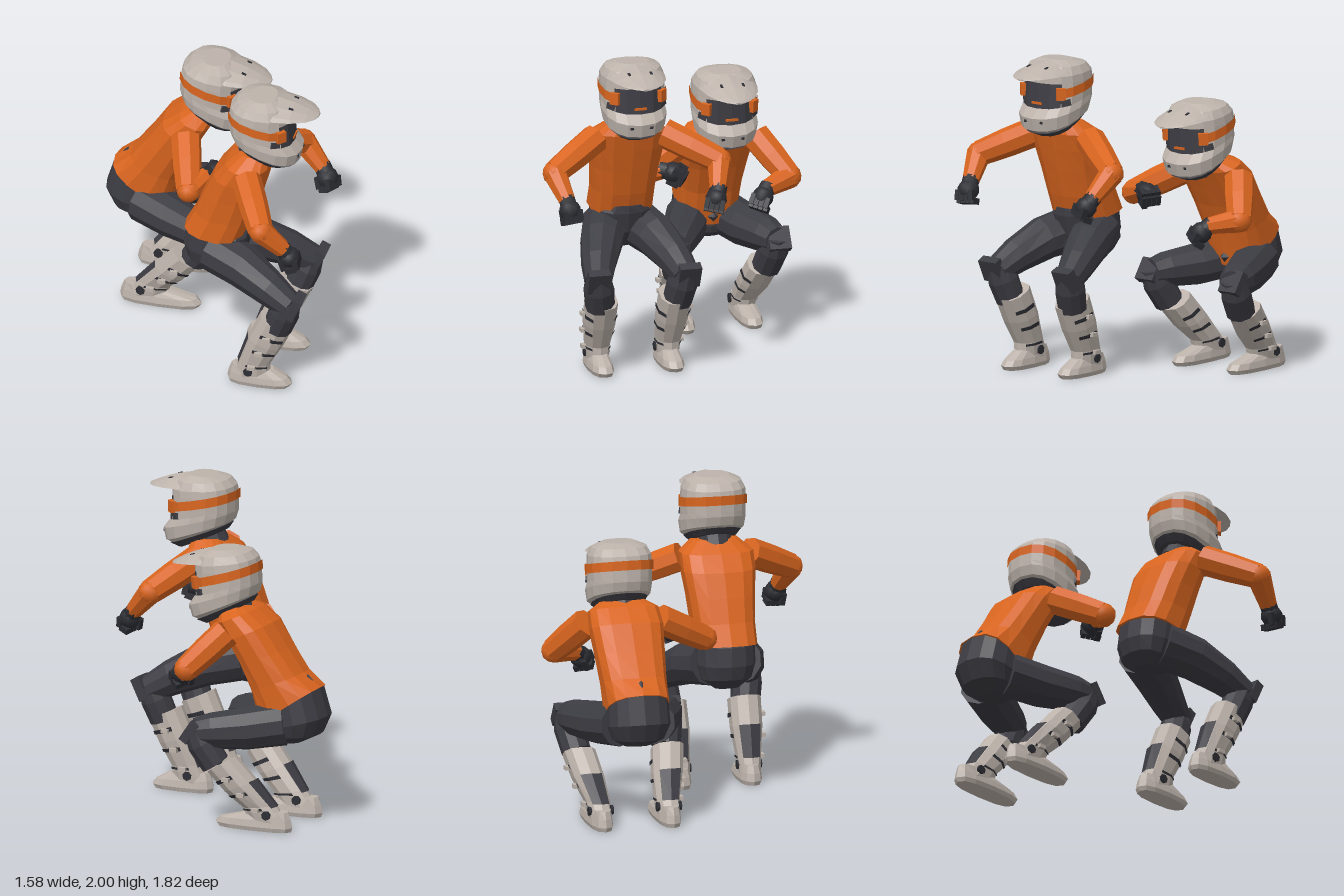
import * as THREE from 'three';

const mat = (name, color) => {
  const m = new THREE.MeshStandardMaterial({ color });
  m.name = name;
  return m;
};
const V = (x, y, z) => new THREE.Vector3(x, y, z);

// Flat-faced skin over a stack of closed rings; keep(i, j) picks which quads are built
function skin(rings, { caps = true, keep = () => true } = {}) {
  const pos = [], n = rings[0].length;
  const tri = (...ps) => ps.forEach(p => pos.push(p.x, p.y, p.z));
  for (let i = 0; i < rings.length - 1; i++) for (let j = 0; j < n; j++) {
    if (!keep(i, j)) continue;
    const k = (j + 1) % n, a = rings[i][j], b = rings[i][k], c = rings[i + 1][k], d = rings[i + 1][j];
    tri(a, d, c);
    tri(a, c, b);
  }
  if (caps) [rings[0], rings[rings.length - 1]].forEach((r, top) => {
    const mid = r.reduce((s, p) => s.add(p), V(0, 0, 0)).divideScalar(n);
    for (let j = 0; j < n; j++) {
      const k = (j + 1) % n;
      top ? tri(mid, r[k], r[j]) : tri(mid, r[j], r[k]);
    }
  });
  const g = new THREE.BufferGeometry();
  g.setAttribute('position', new THREE.Float32BufferAttribute(pos, 3));
  g.computeVertexNormals();
  return g;
}

// Ring from a profile row: back x,y, front x,y, half width, z centre
function rowRing([xb, yb, xf, yf, w, z = 0], n, grow = 1, p = 0.85) {
  const soft = v => Math.sign(v) * Math.abs(v) ** p;
  return Array.from({ length: n }, (_, j) => {
    const t = j / n * Math.PI * 2, c = soft(Math.cos(t)) * grow, s = soft(Math.sin(t)) * grow;
    return V((xb + xf) / 2 + c * (xf - xb) / 2, (yb + yf) / 2 + c * (yf - yb) / 2, z + s * w);
  });
}
const loft = (rows, n, opt = {}) => skin(rows.map(r => rowRing(r, n, opt.grow, opt.p)), opt);

// Limb through points [x, y, z, radius]
function limb(pts, n = 9) {
  const P = pts.map(p => V(p[0], p[1], p[2]));
  return skin(P.map((c, i) => {
    const t = P[Math.min(i + 1, P.length - 1)].clone().sub(P[Math.max(i - 1, 0)]).normalize();
    const u = V(0, 0, 1).cross(t).normalize(), v = u.clone().cross(t);
    return Array.from({ length: n }, (_, j) => {
      const a = j / n * Math.PI * 2;
      return c.clone().addScaledVector(u, Math.cos(a) * pts[i][3]).addScaledVector(v, Math.sin(a) * pts[i][3]);
    });
  }));
}

export function createModel() {
  const orange = mat('orange cloth', 0xd9651f), dark = mat('charcoal cloth', 0x3c3c43);
  const black = mat('black rubber', 0x2d2e34), shell = mat('warm grey shell', 0xbdb3ab);

  const add = (parent, name, geo, m, pos) => {
    const mesh = new THREE.Mesh(geo, m);
    mesh.name = name;
    if (pos) mesh.position.set(...pos);
    parent.add(mesh);
    return mesh;
  };
  const group = (parent, name) => {
    const g = new THREE.Group();
    g.name = name;
    parent.add(g);
    return g;
  };
  const box = (...s) => new THREE.BoxGeometry(...s);

  function helmet(parent, x, y, tilt) {
    const g = group(parent, 'helmet');
    g.position.set(x, y, 0);
    g.rotation.z = tilt;
    const rows = [
      [-0.14, -0.12, 0.17, -0.27, 0.15], [-0.18, -0.09, 0.25, -0.24, 0.195], [-0.2, -0.03, 0.268, -0.16, 0.205],
      [-0.2, 0, 0.22, -0.1, 0.2], [-0.2, 0.08, 0.205, 0.06, 0.203], [-0.19, 0.13, 0.205, 0.105, 0.2],
      [-0.15, 0.172, 0.17, 0.162, 0.175], [-0.07, 0.195, 0.1, 0.198, 0.105]];
    const opening = (i, j) => i === 3 && (j < 2 || j > 13);
    add(g, 'helmetShell', loft(rows, 16, { keep: (i, j) => !opening(i, j) }), shell);
    add(g, 'goggleLens', loft(rows, 16, { keep: opening, caps: false }), dark);
    add(g, 'neckRim', loft([[-0.14, -0.15, 0.16, -0.285, 0.14], [-0.17, -0.105, 0.225, -0.26, 0.175]], 16), dark);
    // Goggle strap with its side hinges
    add(g, 'goggleStrap', loft([[-0.2, 0.045, 0.21, -0.04, 0.205], [-0.2, 0.105, 0.21, 0.018, 0.205]], 16,
      { grow: 1.03, caps: false, keep: (i, j) => j > 1 && j < 14 }), orange);
    // Peak: arched plate narrowing forwards to a thin lip
    const peak = [[0, 0.19, 0.13, 0.04], [0.12, 0.189, 0.185, 0.07], [0.22, 0.165, 0.165, 0.05],
      [0.31, 0.132, 0.12, 0.023], [0.355, 0.112, 0.07, 0.008], [0.375, 0.103, 0.025, 0.002]];
    add(g, 'peak', skin(peak.map(([px, py, w, drop]) => Array.from({ length: 12 }, (_, j) => {
      const a = j / 12 * Math.PI * 2, c = Math.cos(a);
      return V(px, py - drop * c * c + 0.006 * Math.sin(a), w * c);
    }))), shell);
    for (const s of [1, -1]) {
      add(g, 'goggleHinge', box(0.06, 0.075, 0.04), orange, [0.163, 0, s * 0.15]).rotation.y = s * 0.8;
      // Dark goggle seal running down behind the cheek
      add(g, 'goggleSeal', box(0.07, 0.04, 0.02), dark, [0.135, -0.06, s * 0.162]).rotation.set(0, s * 0.75, -0.2);
      add(g, 'peakVent', box(0.03, 0.008, 0.015), black, [0.21, 0.162, s * 0.07]).rotation.z = -0.25;
      add(g, 'chinVent', box(0.01, 0.015, 0.025), black, [0.252, -0.18, s * 0.06]).rotation.y = s * 0.4;
    }
    add(g, 'goggleNose', box(0.008, 0.015, 0.08), orange, [0.22, -0.065, 0]);
  }

  function hand(parent, wrist, tip) {
    const g = group(parent, 'glove'), a = V(...wrist), dir = V(...tip).sub(a).normalize();
    g.position.copy(a);
    g.scale.setScalar(1.12);
    g.quaternion.setFromUnitVectors(V(1, 0, 0), dir);
    add(g, 'cuff', new THREE.CylinderGeometry(0.048, 0.05, 0.06, 8), black, [0.01, 0, 0]).rotation.z = Math.PI / 2;
    add(g, 'palm', new THREE.IcosahedronGeometry(0.062, 1), black, [0.06, 0, 0]);
    for (let i = 0; i < 4; i++) {
      const z = (i - 1.5) * 0.029;
      add(g, 'knuckle', box(0.06, 0.034, 0.026), black, [0.1, 0.02, z]).rotation.z = -0.4;
      add(g, 'finger', box(0.034, 0.06, 0.025), black, [0.115, -0.025, z]).rotation.z = -0.3;
    }
    add(g, 'thumb', box(0.07, 0.03, 0.03), black, [0.07, -0.052, 0.03]).rotation.z = -0.3;
  }

  function boot(parent, shaft, foot, side) {
    const g = group(parent, 'boot');
    const rows = shaft.map(r => [...r.slice(0, 5), r[5] * side]);
    const at = t => { // row at height fraction t along the shaft
      const f = t * (rows.length - 1), i = Math.min(Math.floor(f), rows.length - 2);
      return rows[i].map((v, k) => v + (rows[i + 1][k] - v) * (f - i));
    };
    add(g, 'bootShaft', loft(rows, 10), shell);
    const [heel, toe] = foot, z = rows[0][5];
    add(g, 'bootFoot', loft([
      [heel + 0.01, 0.003, toe - 0.02, 0.003, 0.068, z], [heel, 0.03, toe, 0.03, 0.077, z],
      [heel + 0.01, 0.08, toe - 0.03, 0.065, 0.07, z], [heel + 0.03, 0.13, heel + 0.3, 0.115, 0.055, z]], 12, { p: 0.75 }), shell);
    // Side straps with buckles on the outside
    for (const t of [0.26, 0.53, 0.78]) {
      add(g, 'bootStrap', loft([at(t), at(t + 0.05)], 10,
        { grow: 1.06, caps: false, keep: (i, j) => [1, 2, 7, 8].includes(j) }), black);
      const r = at(t + 0.025);
      add(g, 'buckle', box(0.05, 0.025, 0.025), shell, [(r[0] + r[2]) / 2, (r[1] + r[3]) / 2, r[5] + side * (r[4] + 0.012)]);
    }
    // Dark calf guard
    add(g, 'calfGuard', loft([at(0.3), at(0.68)], 10, { grow: 1.09, caps: false, keep: (i, j) => j === 4 || j === 5 }), dark);
    for (const s of [1, -1])
      add(g, 'anklePivot', new THREE.CylinderGeometry(0.03, 0.03, 0.02, 7), black, [heel + 0.15, 0.11, z + s * 0.07]).rotation.x = Math.PI / 2;
  }

  function rider(root, name, d) {
    const g = group(root, name);
    g.position.z = d.z;
    add(g, 'shirt', loft(d.torso, 14, { p: 0.75 }), orange);
    add(g, 'hips', loft(d.hips, 14), dark);
    add(g, 'neck', limb(d.neck, 10), dark);
    helmet(g, ...d.helmet);
    // Small trouser tips showing through the shirt hem
    for (const p of d.tips) add(g, 'trouserTip', new THREE.OctahedronGeometry(0.035), dark, p);
    for (const s of [1, -1]) {
      const flip = p => [p[0], p[1], p[2] * s, ...p.slice(3)];
      const [sh, el, wr, tip] = (s > 0 ? d.leftArm : d.rightArm).map(flip);
      const mid = sh.map((v, k) => v + (el[k] - v) * 0.5);
      add(g, 'upperArm', limb([[...sh, 0.095], [...mid, 0.092], [...el, 0.08]], 8), orange);
      add(g, 'elbow', new THREE.IcosahedronGeometry(0.078, 1), orange, el);
      add(g, 'forearm', limb([[...el, 0.078], [...wr, 0.055]], 8), orange);
      hand(g, wr, tip);
      add(g, 'thigh', limb(d.thigh.map(flip), 10), dark);
      add(g, 'shin', limb(d.shin.map(flip), 10), dark);
      // Knee guard
      add(g, 'kneeGuard', box(0.06, 0.15, 0.14), dark, flip(d.knee)).rotation.z = d.kneeTilt;
      boot(g, d.boot, d.foot, s);
    }
  }

  const root = new THREE.Group();
  root.name = 'twoRiders';
  const armA = [[0.36, 1.49, 0.22], [0.535, 1.335, 0.535], [0.67, 1.19, 0.49]];
  rider(root, 'standingRider', {
    z: 0.3,
    torso: [[-0.085, 1, 0.3, 0.94, 0.2], [-0.015, 1.13, 0.36, 1.1, 0.2], [0.043, 1.28, 0.41, 1.27, 0.215],
      [0.11, 1.43, 0.45, 1.41, 0.235], [0.19, 1.53, 0.48, 1.52, 0.235], [0.28, 1.6, 0.47, 1.6, 0.14]],
    hips: [[0, 0.71, 0.13, 0.7, 0.08], [-0.07, 0.78, 0.24, 0.74, 0.16], [-0.095, 0.87, 0.31, 0.84, 0.19], [-0.08, 0.99, 0.345, 0.97, 0.19], [-0.07, 1, 0.345, 1.02, 0.15]],
    neck: [[0.35, 1.54, 0, 0.11], [0.42, 1.7, 0, 0.1]],
    helmet: [0.4, 1.8, 0],
    tips: [],
    leftArm: [...armA, [0.73, 1.1, 0.475]], rightArm: [...armA, [0.73, 1.1, 0.45]],
    thigh: [[0.12, 0.86, 0.09, 0.15], [0.33, 0.81, 0.175, 0.138], [0.52, 0.72, 0.245, 0.113], [0.66, 0.64, 0.285, 0.088]],
    shin: [[0.65, 0.67, 0.285, 0.08], [0.62, 0.58, 0.27, 0.098], [0.57, 0.45, 0.25, 0.093]],
    knee: [0.695, 0.65, 0.295], kneeTilt: -0.45,
    boot: [[0.27, 0.06, 0.52, 0.07, 0.07, 0.228], [0.32, 0.18, 0.52, 0.16, 0.078, 0.23], [0.38, 0.36, 0.6, 0.3, 0.1, 0.235], [0.46, 0.54, 0.67, 0.45, 0.103, 0.24]],
    foot: [0.24, 0.66],
  });
  rider(root, 'crouchingRider', {
    z: -0.433,
    torso: [[-0.74, 0.9, -0.36, 0.64, 0.2], [-0.625, 0.985, -0.3, 0.86, 0.205], [-0.515, 1.13, -0.22, 1.04, 0.22],
      [-0.41, 1.285, -0.15, 1.17, 0.235], [-0.3, 1.365, -0.09, 1.28, 0.225], [-0.22, 1.4, -0.07, 1.33, 0.14]],
    hips: [[-0.62, 0.54, -0.45, 0.54, 0.1], [-0.74, 0.6, -0.39, 0.58, 0.17], [-0.79, 0.72, -0.38, 0.62, 0.2], [-0.735, 0.9, -0.38, 0.68, 0.195]],
    neck: [[-0.19, 1.3, 0, 0.11], [-0.1, 1.43, 0, 0.1]],
    helmet: [-0.11, 1.54, -0.08],
    tips: [[-0.345, 0.7, 0], [-0.655, 0.94, 0]],
    leftArm: [[-0.22, 1.25, 0.23], [-0.12, 1.08, 0.55], [-0.04, 1.12, 0.41], [0, 1.11, 0.34]],
    rightArm: [[-0.2, 1.25, 0.235], [0, 1.03, 0.4], [0.09, 0.99, 0.23], [0.14, 0.93, 0.18]],
    thigh: [[-0.54, 0.67, 0.11, 0.14], [-0.32, 0.635, 0.2, 0.135], [-0.12, 0.62, 0.29, 0.115], [-0.02, 0.61, 0.325, 0.088]],
    shin: [[-0.03, 0.64, 0.325, 0.08], [-0.07, 0.54, 0.315, 0.097], [-0.15, 0.41, 0.29, 0.093]],
    knee: [-0.015, 0.62, 0.335], kneeTilt: 0.6,
    boot: [[-0.62, 0.06, -0.34, 0.07, 0.07, 0.22], [-0.53, 0.17, -0.32, 0.14, 0.078, 0.225], [-0.41, 0.32, -0.21, 0.24, 0.1, 0.255], [-0.28, 0.47, -0.11, 0.36, 0.103, 0.285]],
    foot: [-0.65, -0.12],
  });
  return root;
}
